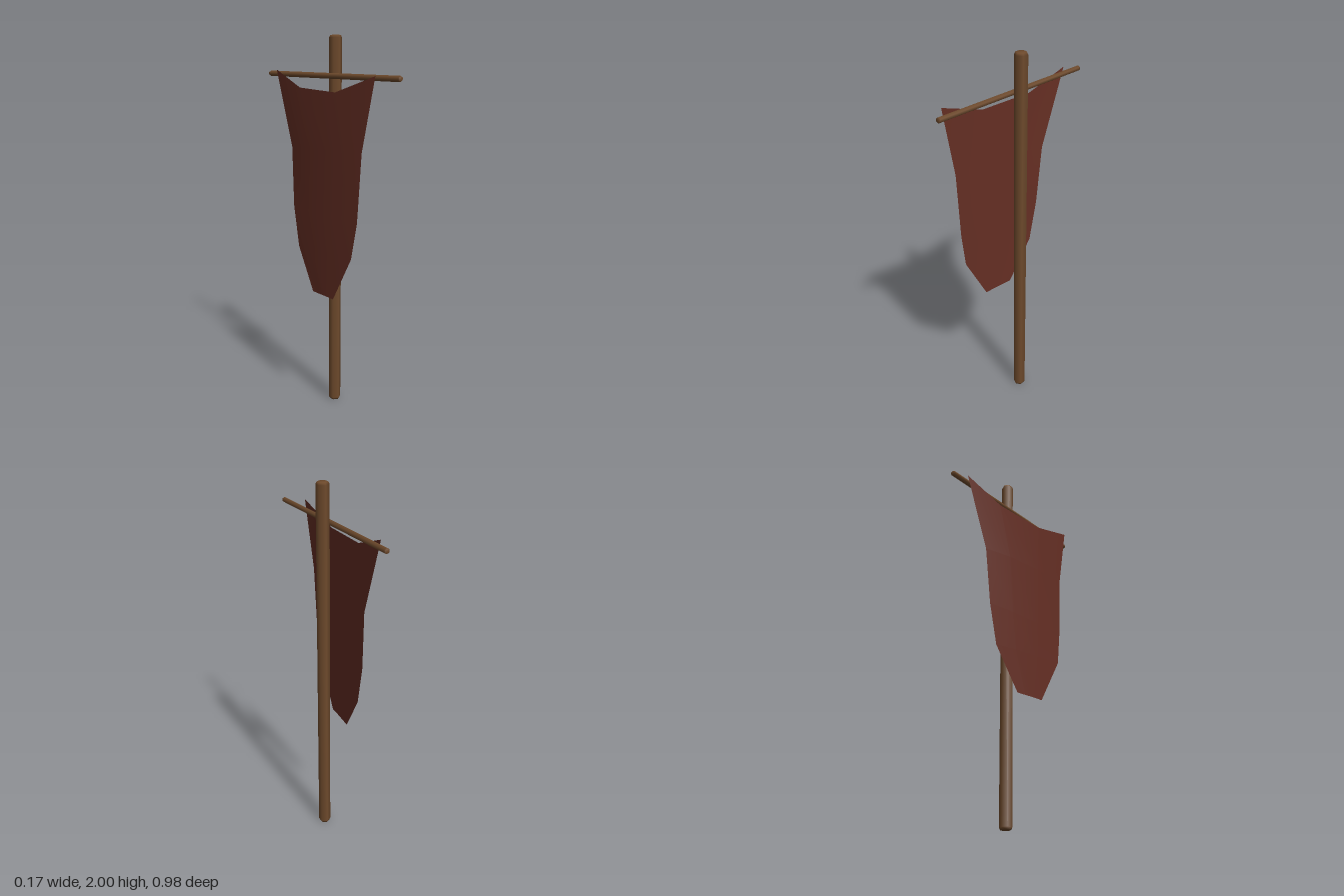
import * as THREE from 'three';

// Six-sided smooth rod along y with slightly chamfered ends
function rod(name, radius, length, bevel, material) {
  const profile = [
    [0, 0], [radius * 0.82, 0], [radius, bevel],
    [radius, length - bevel], [radius * 0.82, length], [0, length],
  ].map(([r, y]) => new THREE.Vector2(r, y));
  const mesh = new THREE.Mesh(new THREE.LatheGeometry(profile, 6), material);
  mesh.name = name;
  return mesh;
}

// Cloth sheet lofted through rows of [x, y, z] points
function clothGeometry(rows) {
  const cols = rows[0].length;
  const index = [];
  for (let r = 0; r < rows.length - 1; r++) {
    for (let c = 0; c < cols - 1; c++) {
      const a = r * cols + c, b = a + 1, d = a + cols, e = d + 1;
      index.push(a, d, b, b, d, e);
    }
  }
  const geometry = new THREE.BufferGeometry();
  geometry.setAttribute('position', new THREE.Float32BufferAttribute(rows.flat(2), 3));
  geometry.setIndex(index);
  geometry.computeVertexNormals();
  return geometry;
}

export function createModel() {
  const wood = new THREE.MeshStandardMaterial({ name: 'brown wood', color: 0x6e4a2c });
  const red = new THREE.MeshStandardMaterial({ name: 'dark red cloth', color: 0x662f24, side: THREE.DoubleSide });
  const model = new THREE.Group();
  model.name = 'banner';

  // Upright pole
  const pole = rod('pole', 0.033, 2, 0.012, wood);
  pole.position.set(0.052, 0, -0.003);
  model.add(pole);

  // Crossbar lying along z behind the pole
  const bar = rod('crossbar', 0.0145, 0.975, 0.006, wood);
  bar.rotation.x = Math.PI / 2;
  bar.position.set(0.011, 1.8, -0.49);
  model.add(bar);

  // Hanging cloth: sagging top edge, tapering to a narrow hem
  const cloth = new THREE.Mesh(clothGeometry([
    [[-0.065, 1.812, 0.395], [-0.073, 1.727, 0.13], [-0.045, 1.737, -0.17], [-0.015, 1.822, -0.4]],
    [[-0.073, 1.45, 0.32], [-0.073, 1.44, 0.12], [-0.058, 1.43, -0.1], [-0.028, 1.42, -0.26]],
    [[-0.077, 1.1, 0.297], [-0.073, 1.1, 0.11], [-0.062, 1.1, -0.08], [-0.04, 1.1, -0.235]],
    [[-0.085, 0.91, 0.265], [-0.075, 0.9, 0.1], [-0.065, 0.89, -0.06], [-0.045, 0.88, -0.19]],
    [[-0.079, 0.66, 0.125], [-0.075, 0.66, 0.065], [-0.07, 0.658, 0.005], [-0.065, 0.657, -0.05]],
  ]), red);
  cloth.name = 'cloth';
  model.add(cloth);

  return model;
}
